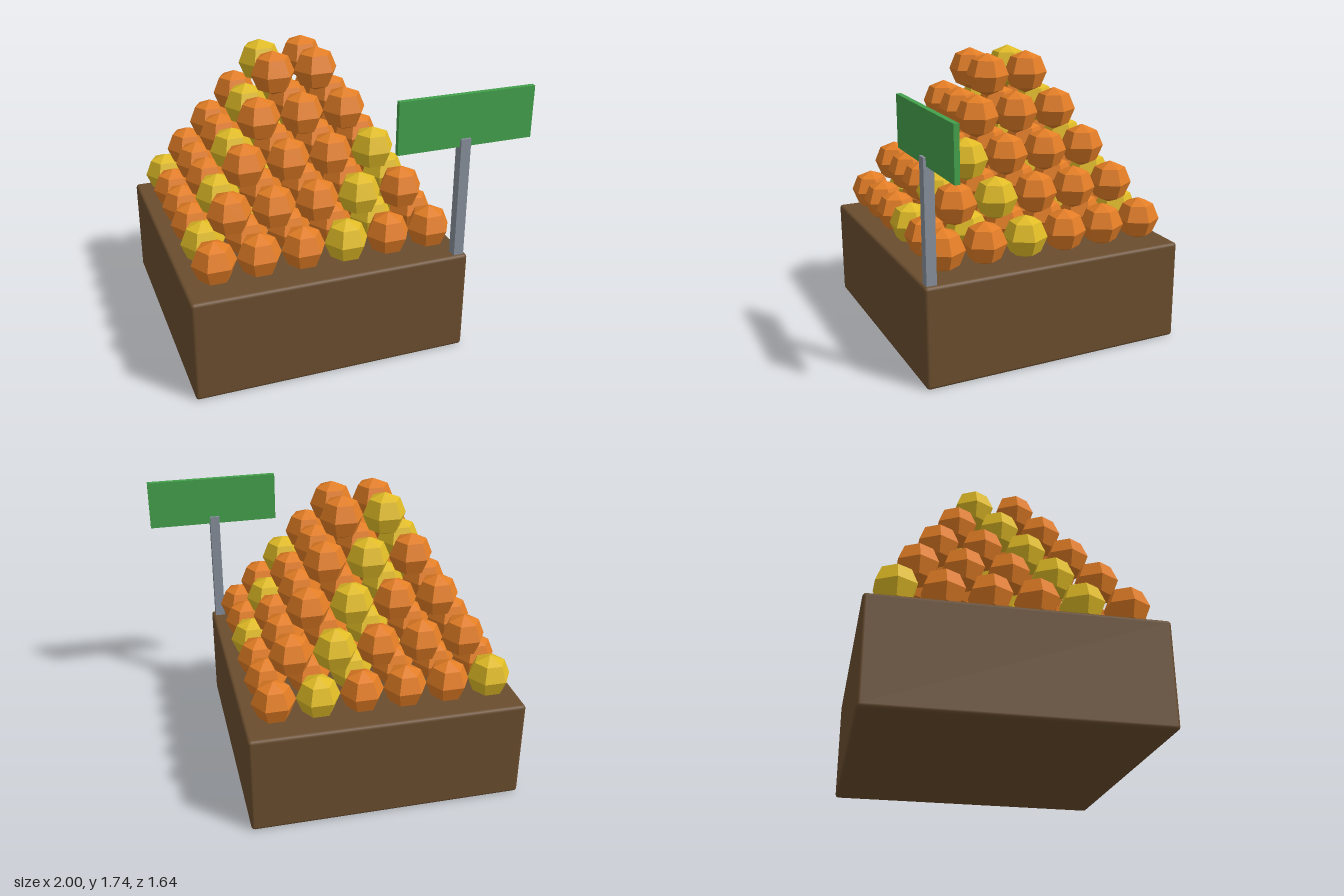
import * as THREE from 'three';
import { RoundedBoxGeometry } from 'three/addons/geometries/RoundedBoxGeometry.js';

function material(name, color, flatShading = false) {
  const m = new THREE.MeshStandardMaterial({ color, flatShading });
  m.name = name;
  return m;
}

export function createModel() {
  const group = new THREE.Group();
  group.name = 'fruitStand';

  const wood = material('brown wood', 0x6a4d2e);
  const orange = material('orange peel', 0xe27d25, true);
  const yellow = material('yellow peel', 0xe0bb26, true);
  const metal = material('grey metal', 0x868f9b);
  const green = material('green sign', 0x43a04b);

  const add = (name, geometry, mat, x, y, z, parent = group) => {
    const mesh = new THREE.Mesh(geometry, mat);
    mesh.name = name;
    mesh.position.set(x, y, z);
    parent.add(mesh);
  };

  // Crate with softened edges
  const centreX = -0.182, crateHeight = 0.615;
  add('crate', new RoundedBoxGeometry(1.636, crateHeight, 1.636, 2, 0.02), wood,
    centreX, crateHeight / 2, 0);

  // Stacked fruit: each layer is one fruit narrower, with yellow diagonals
  const pile = new THREE.Group();
  pile.name = 'fruitPile';
  group.add(pile);
  const fruit = new THREE.SphereGeometry(0.13, 6, 4);
  const spacing = 0.256, layerStep = 0.215;
  for (let layer = 0; layer < 5; layer++) {
    const count = 6 - layer;
    const start = -(count - 1) / 2;
    for (let row = 0; row < count; row++) {
      for (let col = 0; col < count; col++) {
        const isYellow = (row + col + layer) % 4 === 0;
        add(isYellow ? 'yellowFruit' : 'orangeFruit', fruit, isYellow ? yellow : orange,
          centreX + (start + col) * spacing,
          0.75 + layer * layerStep,
          (start + row) * spacing, pile);
      }
    }
  }

  // Price sign on a post at the front corner
  add('signPost', new THREE.BoxGeometry(0.06, 0.73, 0.06), metal, 0.585, 0.97, 0.77);
  add('signBoard', new THREE.BoxGeometry(0.82, 0.305, 0.03), green, 0.59, 1.44, 0.77);

  return group;
}
